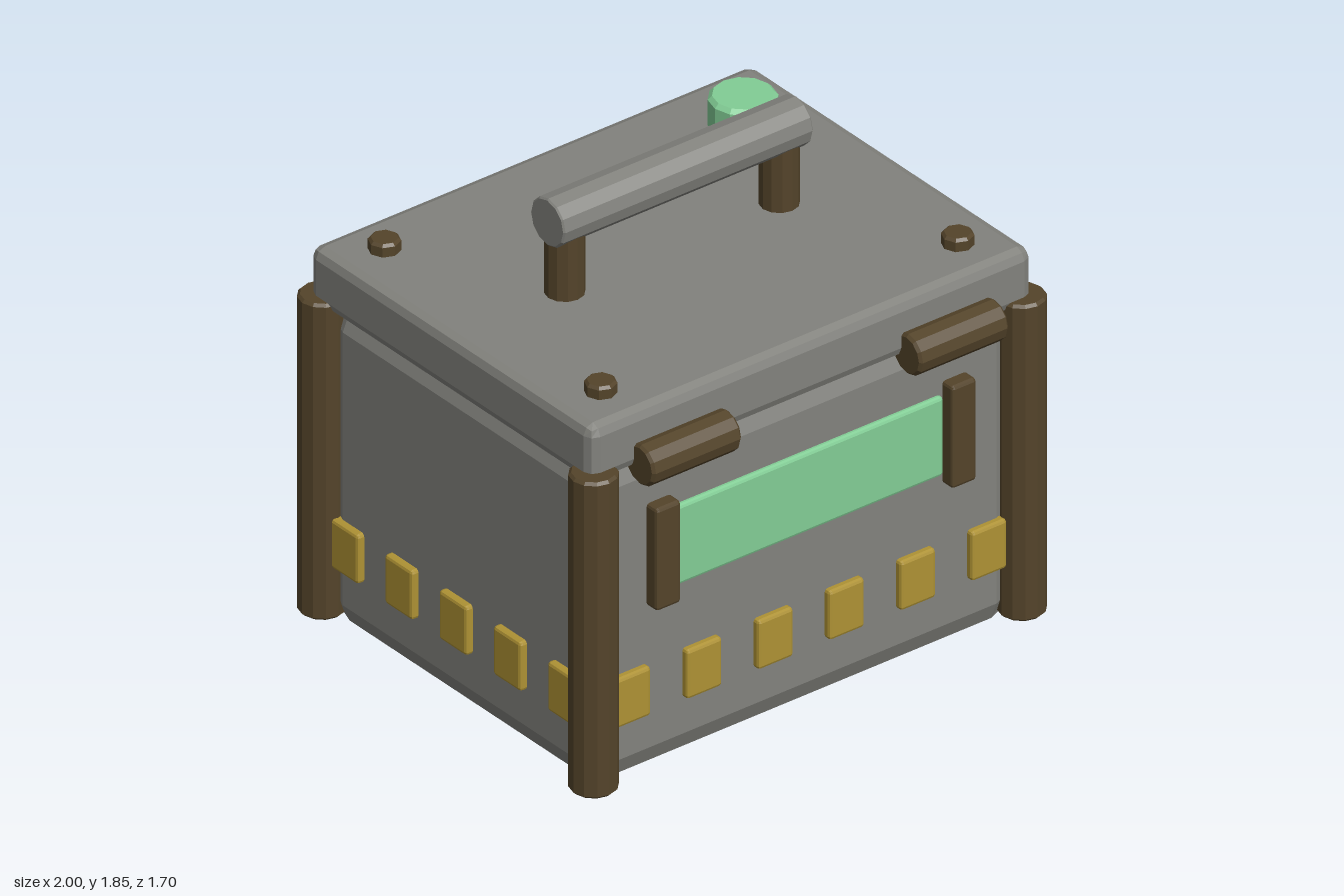
import * as THREE from 'three';
import { RoundedBoxGeometry } from 'three/addons/geometries/RoundedBoxGeometry.js';

const ZC = -0.015; // depth centre of the case
const HX = 0.91, HZ = 0.725; // half width and half depth of the case

// faceted normals
function facet(geometry) {
  const g = geometry.index ? geometry.toNonIndexed() : geometry;
  g.computeVertexNormals();
  return g;
}

// box with a small two-step bevel
const bevelBox = (w, h, d, r) => facet(new RoundedBoxGeometry(w, h, d, 1, r));

// upright faceted cylinder with bevelled rims, centred on its middle
function bevelCylinder(r, h, sides = 12, b = 0.01) {
  const p = [[0, -h / 2], [r - b, -h / 2], [r, -h / 2 + b], [r, h / 2 - b], [r - b, h / 2], [0, h / 2]];
  return facet(new THREE.LatheGeometry(p.map(([x, y]) => new THREE.Vector2(x, y)), sides));
}

export function createModel() {
  const model = new THREE.Group();
  model.name = 'equipmentCase';

  const material = (name, color) => {
    const m = new THREE.MeshStandardMaterial({ color });
    m.name = name;
    return m;
  };
  const grey = material('grey metal', 0x82827d);
  const brown = material('dark brown', 0x54442a);
  const yellow = material('yellow', 0xae9234);
  const green = material('green', 0x82cd95);

  const add = (name, geometry, mat, x, y, z) => {
    const mesh = new THREE.Mesh(geometry, mat);
    mesh.name = name;
    mesh.position.set(x, y, z);
    model.add(mesh);
    return mesh;
  };

  // case and lid
  add('body', bevelBox(HX * 2, 1.27, HZ * 2, 0.1), grey, 0, 0.635, ZC);
  add('lid', bevelBox(1.89, 0.22, 1.52, 0.04), grey, 0, 1.35, -0.02);

  // corner posts and lid bolts
  const post = bevelCylinder(0.086, 1.24);
  const bolt = bevelCylinder(0.057, 0.09, 8);
  for (const sx of [-1, 1]) {
    for (const sz of [-1, 1]) {
      add('cornerPost', post, brown, sx * 0.914, 0.66, ZC + sz * 0.73);
      add('lidBolt', bolt, brown, sx * 0.762, 1.462, -0.02 + sz * 0.582);
    }
  }

  // carrying handle
  const support = bevelCylinder(0.07, 0.32);
  for (const sx of [-1, 1]) add('handleSupport', support, brown, sx * 0.458, 1.58, ZC);
  add('handleGrip', bevelCylinder(0.092, 1.066, 12, 0.006), grey, 0, 1.758, ZC).rotation.z = Math.PI / 2;

  // lid button
  add('button', bevelCylinder(0.12, 0.16, 12, 0.015), green, 0.68, 1.495, -0.49);

  // front hinges and rear latch
  const hinge = bevelCylinder(0.078, 0.38);
  for (const sx of [-1, 1]) add('hinge', hinge, brown, sx * 0.57, 1.267, 0.767).rotation.z = Math.PI / 2;
  add('latch', bevelBox(0.264, 0.295, 0.12, 0.015), brown, 0, 1.228, -0.79);

  // front and back: display, side brackets and marker row
  const display = bevelBox(1.14, 0.31, 0.07, 0.012);
  const bracket = bevelBox(0.104, 0.4, 0.1, 0.012);
  const marker = bevelBox(0.15, 0.192, 0.06, 0.012);
  for (const sz of [-1, 1]) {
    add('display', display, green, 0, 0.858, ZC + sz * 0.71);
    for (const sx of [-1, 1]) add('displayBracket', bracket, brown, sx * 0.631, 0.86, ZC + sz * 0.73);
    for (let i = 0; i < 6; i++) {
      add('marker', marker, yellow, (i - 2.5) * 0.304, 0.34, ZC + sz * (HZ - 0.002));
    }
  }

  // marker rows on both sides
  for (const sx of [-1, 1]) {
    for (let i = 0; i < 5; i++) {
      add('sideMarker', marker, yellow, sx * (HX - 0.002), 0.34, ZC + (i - 2) * 0.292).rotation.y = Math.PI / 2;
    }
  }

  return model;
}
